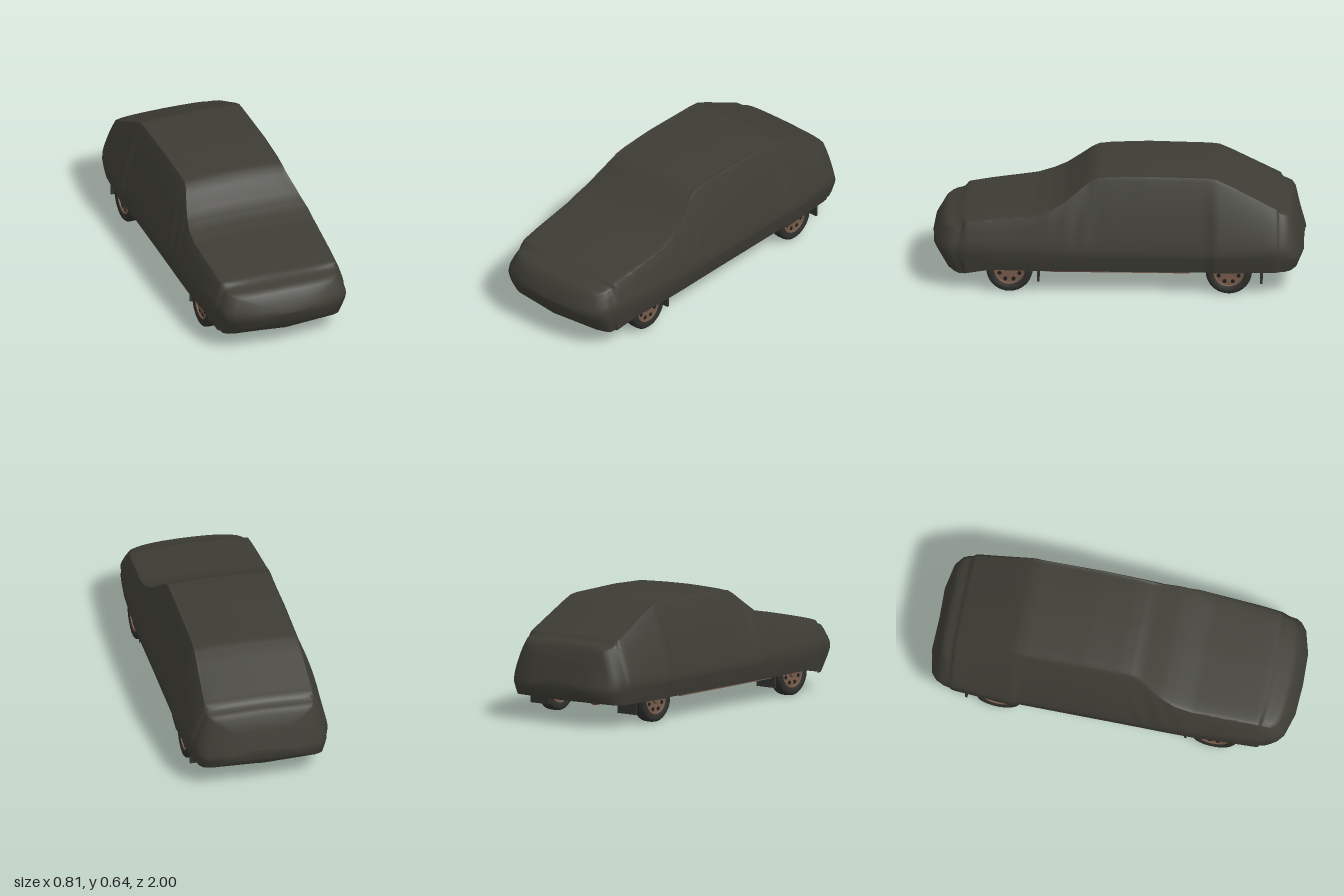
import * as THREE from 'three';
import { toCreasedNormals } from 'three/addons/utils/BufferGeometryUtils.js';

const { lerp, smoothstep } = THREE.MathUtils;

const mat = (name, color) => {
  const m = new THREE.MeshStandardMaterial({ color });
  m.name = name;
  return m;
};

// Body outline along z: [z, topY, halfWidth, shoulderHalfWidth]
const STATIONS = [
  [-0.965, 0.445, 0.362, 0.3],
  [-0.84, 0.483, 0.38, 0.305],
  [-0.6, 0.602, 0.397, 0.295],
  [-0.53, 0.633, 0.403, 0.292],
  [-0.48, 0.639, 0.39, 0.29],
  [-0.15, 0.645, 0.392, 0.29],
  [0.05, 0.638, 0.393, 0.288],
  [0.12, 0.63, 0.394, 0.287],
  [0.16, 0.608, 0.394, 0.292],
  [0.22, 0.56, 0.395, 0.312],
  [0.29, 0.508, 0.396, 0.332],
  [0.36, 0.472, 0.396, 0.346],
  [0.45, 0.443, 0.396, 0.35],
  [0.7, 0.41, 0.385, 0.342],
  [0.82, 0.391, 0.372, 0.336],
  [0.975, 0.358, 0.352, 0.322],
];

// Half outline from the floor centre, round the hem, up to the roof centre
function halfSection(z, top, w, s) {
  const v = (x, y) => new THREE.Vector2(x, y);
  const hem = lerp(0.124, 0.093, smoothstep(z, 0.65, 0.88));
  const floor = lerp(0.14, hem, smoothstep(Math.abs(z), 0.88, 0.96));
  const skin = new THREE.SplineCurve([
    v(w * 0.95, hem), v(w * 0.99, 0.19), v(w, 0.25),
    v(lerp(w, s, 0.42), 0.25 + (top - 0.275) * 0.5),
    v(s, top - 0.028), v(s - 0.025, top - 0.01), v(s * 0.5, top - 0.003), v(0, top),
  ]).getPoints(28);
  return [v(0, floor), v(w * 0.95 - 0.01, floor), v(w * 0.95 - 0.01, hem), ...skin];
}

// All rows of the loft, with finer steps for the folds and shrinking rows that close the ends
function loftRows() {
  const rows = [];
  STATIONS.forEach((a, i) => {
    rows.push({ z: a[0], section: a, scale: 1 });
    const b = STATIONS[i + 1];
    if (!b) return;
    const steps = Math.ceil((b[0] - a[0]) / 0.025);
    for (let k = 1; k < steps; k++) {
      const section = a.map((q, c) => lerp(q, b[c], k / steps));
      rows.push({ z: section[0], section, scale: 1 });
    }
  });
  const tail = STATIONS[0], nose = STATIONS[STATIONS.length - 1];
  for (const [z, scale] of [[0.987, 0.96], [0.997, 0.86], [1, 0.5], [1, 0.001]]) {
    rows.unshift({ z: -z, section: tail, scale });
    rows.push({ z, section: nose, scale });
  }
  return rows;
}

function coverGeometry() {
  const rows = loftRows();
  const pos = [], cloth = [], under = [];
  let n = 0;
  for (const { z: z0, section, scale } of rows) {
    const w = section[2];
    const half = halfSection(...section);
    const ring = [...half, ...half.slice(1, -1).reverse().map(p => new THREE.Vector2(-p.x, p.y))];
    n = ring.length;
    const nose = smoothstep(z0, 0.8, 0.97);
    const tail = 1 - smoothstep(z0, -0.965, -0.84);
    for (const p of ring) {
      let x = p.x * scale;
      const y = 0.23 + (p.y - 0.23) * scale;
      // gentle folds beside the windscreen
      const fold = Math.exp(-(((z0 - 0.22) / 0.16) ** 2) - ((y - 0.36) / 0.1) ** 2);
      if (Math.abs(x) > 0.8 * w) x += Math.sign(x) * 0.004 * fold * Math.sin(z0 * 55 + y * 14);
      // bowed, raked nose and sloping tail
      const z = z0
        - nose * (0.015 * (x / 0.35) ** 2 + 0.05 * (x / 0.35) ** 4 + 0.6 * (Math.hypot(y - 0.23, 0.03) - 0.03))
        + tail * (0.25 * Math.max(0, y - 0.2) + 0.35 * Math.max(0, 0.2 - y) + 0.045 * (x / 0.35) ** 6);
      pos.push(x, y, z);
    }
  }
  for (let i = 0; i < rows.length - 1; i++)
    for (let j = 0; j < n; j++) {
      const a = i * n + j, b = i * n + (j + 1) % n, c = b + n, d = a + n;
      const isFloor = (j < 2 || j >= n - 2) && rows[i].z > -0.95 && rows[i + 1].z < 0.95;
      (isFloor ? under : cloth).push(a, b, c, a, c, d);
    }
  const g = new THREE.BufferGeometry();
  g.setAttribute('position', new THREE.Float32BufferAttribute(pos, 3));
  g.setIndex([...cloth, ...under]);
  g.addGroup(0, cloth.length, 0);
  g.addGroup(cloth.length, under.length, 1);
  return toCreasedNormals(g, 0.8);
}

export function createModel() {
  const root = new THREE.Group();
  root.name = 'coveredCar';
  const cover = mat('coverCloth', 0x3d3c34);
  const dark = mat('underbodyDark', 0x1d1e1b);
  const rubber = mat('tyreRubber', 0x2d2e2a);
  const steel = mat('chassisSteel', 0x30322d);
  const rim = mat('rimBrown', 0x75594a);
  const rust = mat('exhaustRust', 0x6b3c2b);
  const deepRust = mat('floorRust', 0x3a201a);

  const add = (name, geo, m, x = 0, y = 0, z = 0, parent = root) => {
    const o = new THREE.Mesh(geo, m);
    o.name = name;
    o.position.set(x, y, z);
    parent.add(o);
    return o;
  };
  const box = (name, m, w, h, d, x, y, z) => add(name, new THREE.BoxGeometry(w, h, d), m, x, y, z);
  const tube = (name, m, r, pts) => add(name, new THREE.TubeGeometry(
    new THREE.CatmullRomCurve3(pts.map(p => new THREE.Vector3(...p)), false, 'catmullrom', 0.15), 40, r, 8), m);
  const can = (name, r, length, flatten, x, y, z) => {
    const o = add(name, new THREE.CylinderGeometry(r, r, length, 20), rust, x, y, z);
    o.rotation.x = Math.PI / 2;
    o.scale.z = flatten;
  };

  add('carCover', coverGeometry(), [cover, dark]);

  // Wheels, built lying flat and turned so +y points outwards
  const tyreGeo = new THREE.LatheGeometry([
    [0.082, -0.03], [0.1, -0.037], [0.115, -0.036], [0.123, -0.028], [0.125, -0.015],
    [0.125, 0.015], [0.123, 0.028], [0.115, 0.036], [0.1, 0.037], [0.082, 0.03],
  ].map(p => new THREE.Vector2(...p)), 36);
  for (const side of [-1, 1])
    for (const z of [0.58, -0.6]) {
      const wheel = new THREE.Group();
      wheel.name = 'wheel';
      wheel.position.set(side * 0.328, 0.125, z);
      wheel.rotation.z = -side * Math.PI / 2;
      root.add(wheel);
      add('tyre', tyreGeo, rubber, 0, 0, 0, wheel);
      add('rim', new THREE.CylinderGeometry(0.083, 0.083, 0.05, 32), rim, 0, 0, 0, wheel);
      add('rimLip', new THREE.TorusGeometry(0.08, 0.005, 6, 32), rim, 0, 0.028, 0, wheel).rotation.x = Math.PI / 2;
      add('hub', new THREE.CylinderGeometry(0.022, 0.026, 0.016, 16), rim, 0, 0.03, 0, wheel);
      add('brakeDrum', new THREE.CylinderGeometry(0.06, 0.06, 0.03, 20), steel, 0, -0.03, 0, wheel);
      for (let i = 0; i < 8; i++) {
        const a = (i + 0.5) * Math.PI / 4;
        add('rimSlot', new THREE.CylinderGeometry(0.011, 0.011, 0.004, 10), dark,
          0.058 * Math.cos(a), 0.025, 0.058 * Math.sin(a), wheel);
      }
    }

  // Parts mirrored on both sides
  for (const s of [-1, 1]) {
    box('frontMudFlap', steel, 0.125, 0.08, 0.012, s * 0.3, 0.1, 0.425);
    box('rearMudFlap', steel, 0.125, 0.08, 0.012, s * 0.3, 0.1, -0.775);
    box('sill', rim, 0.016, 0.02, 0.78, s * 0.355, 0.126, 0);
    box('chassisRail', steel, 0.035, 0.02, 1.0, s * 0.19, 0.132, -0.02);
    box('floorPan', deepRust, 0.09, 0.008, 0.26, s * 0.27, 0.137, 0.18);
    tube('trailingArm', steel, 0.013, [[s * 0.17, 0.125, -0.3], [s * 0.23, 0.115, -0.45], [s * 0.28, 0.12, -0.6]]);
    tube('frontArm', steel, 0.012, [[s * 0.1, 0.115, 0.46], [s * 0.2, 0.11, 0.53], [s * 0.29, 0.12, 0.58]]);
  }

  // Cross pieces under the floor
  box('frontCrossmember', steel, 0.42, 0.045, 0.05, 0, 0.11, 0.57);
  box('engineTray', steel, 0.3, 0.02, 0.16, 0, 0.118, 0.72);
  box('rearCrossmember', steel, 0.44, 0.025, 0.05, 0, 0.13, -0.38);
  box('rearPan', deepRust, 0.22, 0.01, 0.14, 0.06, 0.135, -0.5);
  tube('rearAxle', steel, 0.016, [[-0.29, 0.125, -0.6], [0, 0.12, -0.6], [0.29, 0.125, -0.6]]);

  // Exhaust from engine to tail
  tube('exhaustPipe', rust, 0.011, [[-0.19, 0.125, 0.56], [-0.15, 0.11, 0.63], [-0.09, 0.105, 0.65],
    [-0.02, 0.108, 0.3], [0, 0.108, 0.1], [0.01, 0.112, -0.24], [-0.14, 0.118, -0.46],
    [-0.18, 0.128, -0.62], [-0.2, 0.132, -0.78]]);
  can('muffler', 0.045, 0.19, 0.42, 0, 0.112, 0.125);
  can('rearSilencer', 0.04, 0.17, 0.6, -0.2, 0.142, -0.85);
  return root;
}
